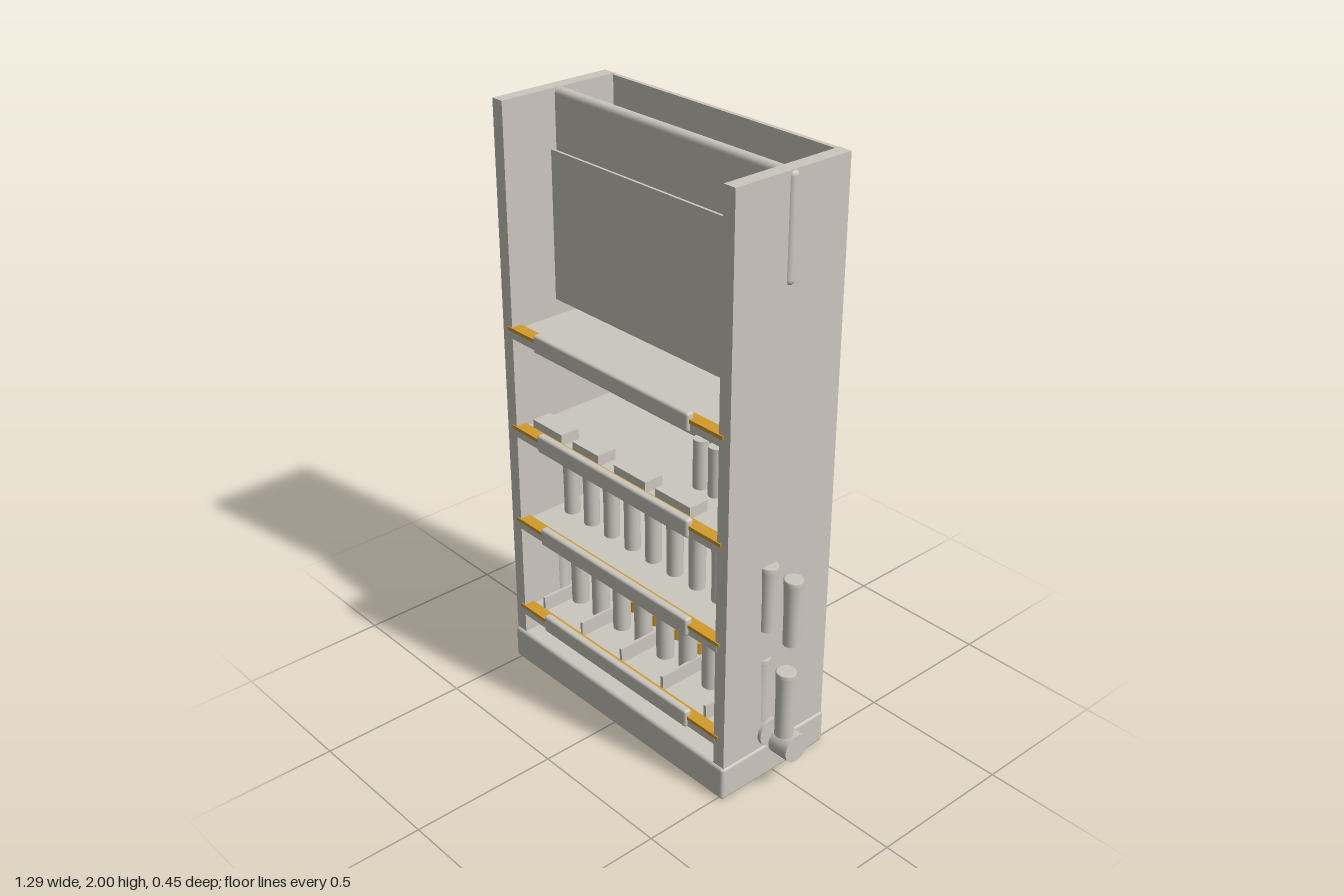
import * as THREE from 'three';
import { RoundedBoxGeometry } from 'three/addons/geometries/RoundedBoxGeometry.js';

const grey = new THREE.MeshStandardMaterial({ color: 0xcbc7be });
grey.name = 'warm grey';
const gold = new THREE.MeshStandardMaterial({ color: 0xd29a2b });
gold.name = 'gold';

export function createModel() {
  const model = new THREE.Group();

  const add = (name, geometry, material, x = 0, y = 0, z = 0, parent = model) => {
    const mesh = new THREE.Mesh(geometry, material);
    mesh.name = name;
    mesh.position.set(x, y, z);
    parent.add(mesh);
    return mesh;
  };
  // Box given by its limits on each axis; a radius rounds the edges
  const box = (name, [x0, x1], [y0, y1], [z0, z1], material = grey, radius = 0, parent = model) => {
    const size = [x1 - x0, y1 - y0, z1 - z0];
    const geometry = radius ? new RoundedBoxGeometry(...size, 3, radius) : new THREE.BoxGeometry(...size);
    return add(name, geometry, material, (x0 + x1) / 2, (y0 + y1) / 2, (z0 + z1) / 2, parent);
  };
  const group = (name) => {
    const g = new THREE.Group();
    g.name = name;
    model.add(g);
    return g;
  };

  // Cabinet
  box('base', [-0.52, 0.52], [0, 0.12], [-0.225, 0.225], grey, 0.012);
  box('leftSide', [0.47, 0.515], [0.115, 2], [-0.217, 0.217]);
  box('rightSide', [-0.515, -0.47], [0.115, 2], [-0.217, 0.217]);
  box('backPanel', [-0.48, 0.48], [0.12, 1.995], [-0.226, -0.211]);

  // Header slab through both sides, with two thin panels before it
  box('headerSlab', [-0.523, 0.523], [1.667, 2], [-0.019, 0.019], grey, 0.018);
  box('screenBacking', [-0.42, 0.42], [1.36, 1.81], [0.029, 0.037]);
  box('screen', [-0.43, 0.43], [1.34, 1.83], [0.062, 0.071]);

  // Shelves with a gold light strip and a rounded label rail
  const shelfBottoms = [0.187, 0.531, 0.879, 1.229];
  shelfBottoms.forEach((y) => {
    const shelf = group('shelf');
    box('shelfBoard', [-0.475, 0.475], [y + 0.004, y + 0.032], [-0.178, 0.218], grey, 0, shelf);
    box('lightStrip', [-0.488, 0.488], [y + 0.03, y + 0.042], [0.18, 0.221], gold, 0, shelf);
    box('labelRail', [-0.353, 0.353], [y, y + 0.062], [0.2, 0.228], grey, 0.009, shelf);
  });

  // Bottles: slightly waisted body with a wider cap
  const bottle = (radius, height, waist) => new THREE.LatheGeometry([
    [0, 0], [radius * waist, 0], [radius * waist, 0], [radius * (waist + 0.02), height * 0.6],
    [radius * 0.96, height * 0.9], [radius, height * 0.92], [radius, height * 0.99],
    [radius * 0.92, height], [radius * 0.92, height], [0, height],
  ].map(([r, h]) => new THREE.Vector2(r, h)), 24);

  const upperRow = group('upperBottleRow');
  const upperBottle = bottle(0.031, 0.227, 0.86);
  for (let i = -6; i <= 6; i++) add('bottle', upperBottle, grey, i * 0.1027, 0.563, 0.045, upperRow);

  // Lower row stands above a row of lying rollers
  const lowerRow = group('lowerBottleRow');
  const lowerBottle = bottle(0.033, 0.235, 0.9);
  const roller = new THREE.CylinderGeometry(0.048, 0.048, 0.074, 28).rotateZ(Math.PI / 2);
  for (let i = 0; i < 12; i++) {
    const x = (i - 5.5) * 0.109;
    add('bottle', lowerBottle, grey, x, 0.216, 0.043, lowerRow);
    add('roller', roller, grey, x, 0.168, 0.023, lowerRow);
  }

  // Gold cans and dividers among the lower bottles
  const can = new THREE.CylinderGeometry(0.027, 0.027, 0.14, 20);
  for (let i = 0; i < 7; i++) add('goldCan', can, gold, -0.21 + i * 0.107, 0.19, -0.06, lowerRow);
  for (let i = -2; i <= 2; i++) {
    const x = i * 0.2 - 0.01;
    box('divider', [x - 0.005, x + 0.005], [0.21, 0.272], [0.01, 0.18], grey, 0, lowerRow);
  }

  // Flat packs and two small bottles on the third shelf
  const packs = group('flatPacks');
  [[-0.43, -0.285], [-0.23, -0.105], [-0.03, 0.115], [0.16, 0.315]].forEach((span) => {
    box('flatPack', span, [0.908, 0.949], [0.11, 0.18], grey, 0, packs);
  });
  const smallBottle = new THREE.CylinderGeometry(0.025, 0.025, 0.17, 24);
  [0.195, 0.262].forEach((x) => add('smallBottle', smallBottle, grey, x, 0.993, 0.025));

  return model;
}
